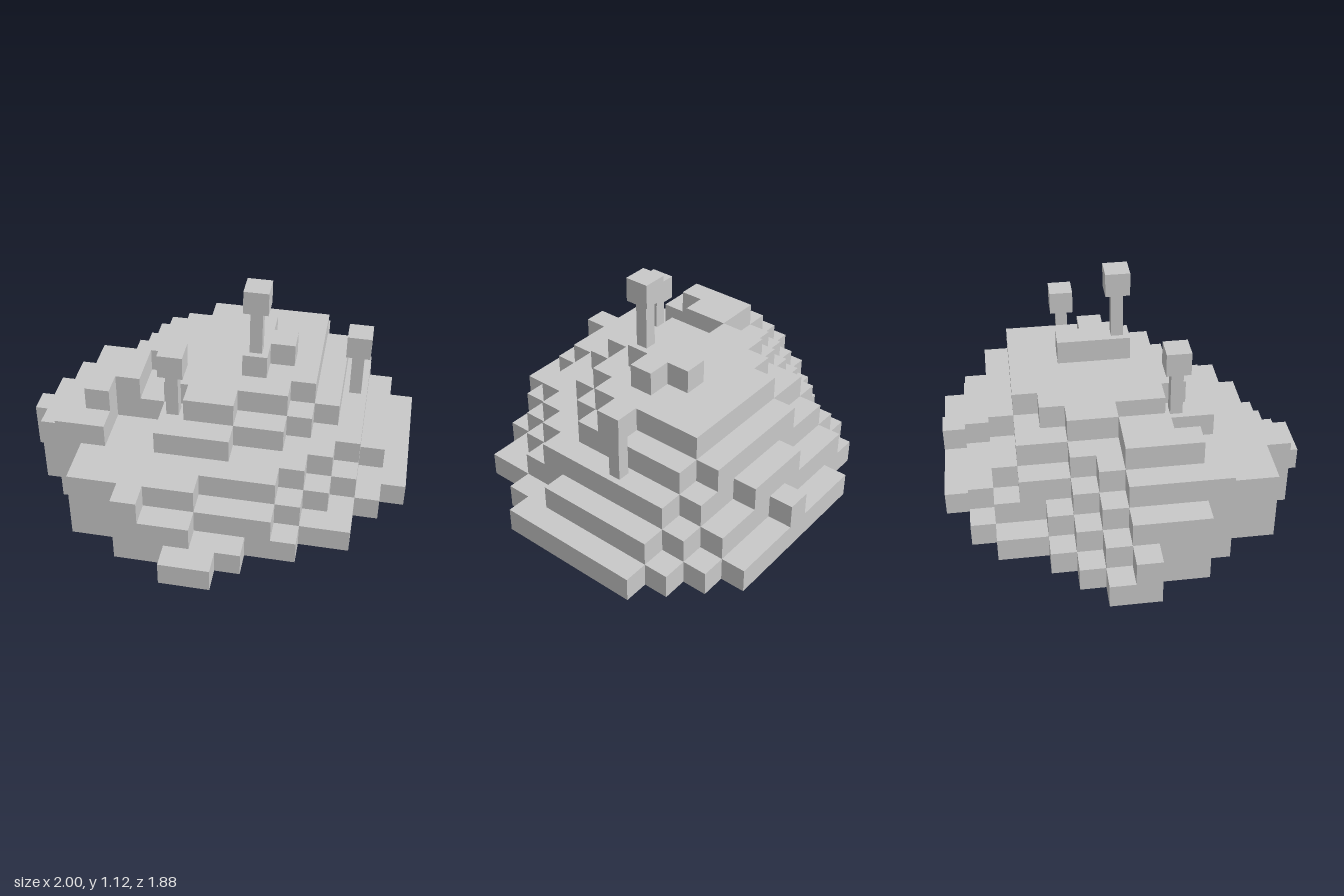
import * as THREE from 'three';

const S = 0.125; // block size
const X0 = -1, Z0 = -0.9375;

// Height of each block column, in blocks; rows run back to front, digits from -x to +x
const HEIGHTS = [
  '0000001112111000',
  '0000122233322100',
  '0001233444443210',
  '0001344555554321',
  '0012345555554321',
  '0123455556554321',
  '1234455556654321',
  '2345545556554321',
  '0345545555543311',
  '0345334554433210',
  '0044334443332100',
  '0003333333321100',
  '0003333322210000',
  '0000032211000000',
  '0000000110000000',
];

const heightAt = (i, j) => Number(HEIGHTS[j]?.[i] ?? 0);

// Open-bottomed stepped skin: a top for each column and a wall at each drop
function terrainGeometry() {
  const pos = [];
  const quad = (a, b, c, d) => pos.push(...a, ...b, ...c, ...a, ...c, ...d);
  HEIGHTS.forEach((row, j) => {
    for (let i = 0; i < row.length; i++) {
      const h = heightAt(i, j);
      if (!h) continue;
      const y = h * S;
      const x0 = X0 + i * S, x1 = x0 + S;
      const z0 = Z0 + j * S, z1 = z0 + S;
      quad([x0, y, z1], [x1, y, z1], [x1, y, z0], [x0, y, z0]);
      // wall from (ax, az) to (bx, bz), left to right as seen from outside
      const wall = (n, ax, az, bx, bz) => {
        if (n >= h) return;
        const b = n * S;
        quad([ax, b, az], [bx, b, bz], [bx, y, bz], [ax, y, az]);
      };
      wall(heightAt(i, j + 1), x0, z1, x1, z1);
      wall(heightAt(i, j - 1), x1, z0, x0, z0);
      wall(heightAt(i + 1, j), x1, z1, x1, z0);
      wall(heightAt(i - 1, j), x0, z0, x0, z1);
    }
  });
  const geo = new THREE.BufferGeometry();
  geo.setAttribute('position', new THREE.Float32BufferAttribute(pos, 3));
  geo.computeVertexNormals();
  return geo;
}

// Thin post with a cube on top
function makePost(name, x, z, base, cubeBase, material) {
  const post = new THREE.Group();
  post.name = name;
  const len = cubeBase - base;
  const stem = new THREE.Mesh(new THREE.BoxGeometry(S / 2, len, S / 2), material);
  stem.name = 'stem';
  stem.position.y = base + len / 2;
  const cube = new THREE.Mesh(new THREE.BoxGeometry(S, S, S), material);
  cube.name = 'cubeTop';
  cube.position.y = cubeBase + S / 2;
  post.add(stem, cube);
  post.position.set(x, 0, z);
  return post;
}

export function createModel() {
  const model = new THREE.Group();
  model.name = 'steppedHill';
  const stone = new THREE.MeshStandardMaterial({ color: 0xc8c8c8, side: THREE.DoubleSide });
  stone.name = 'stoneGrey';

  const hill = new THREE.Mesh(terrainGeometry(), stone);
  hill.name = 'hill';
  model.add(hill);

  model.add(
    makePost('summitPost', 0.1875, 0, 0.75, 1.0, stone),
    makePost('frontPost', -0.1875, 0.25, 0.5, 0.75, stone),
    makePost('sidePost', 0.6875, -0.25, 0.375, 0.625, stone),
  );
  return model;
}
